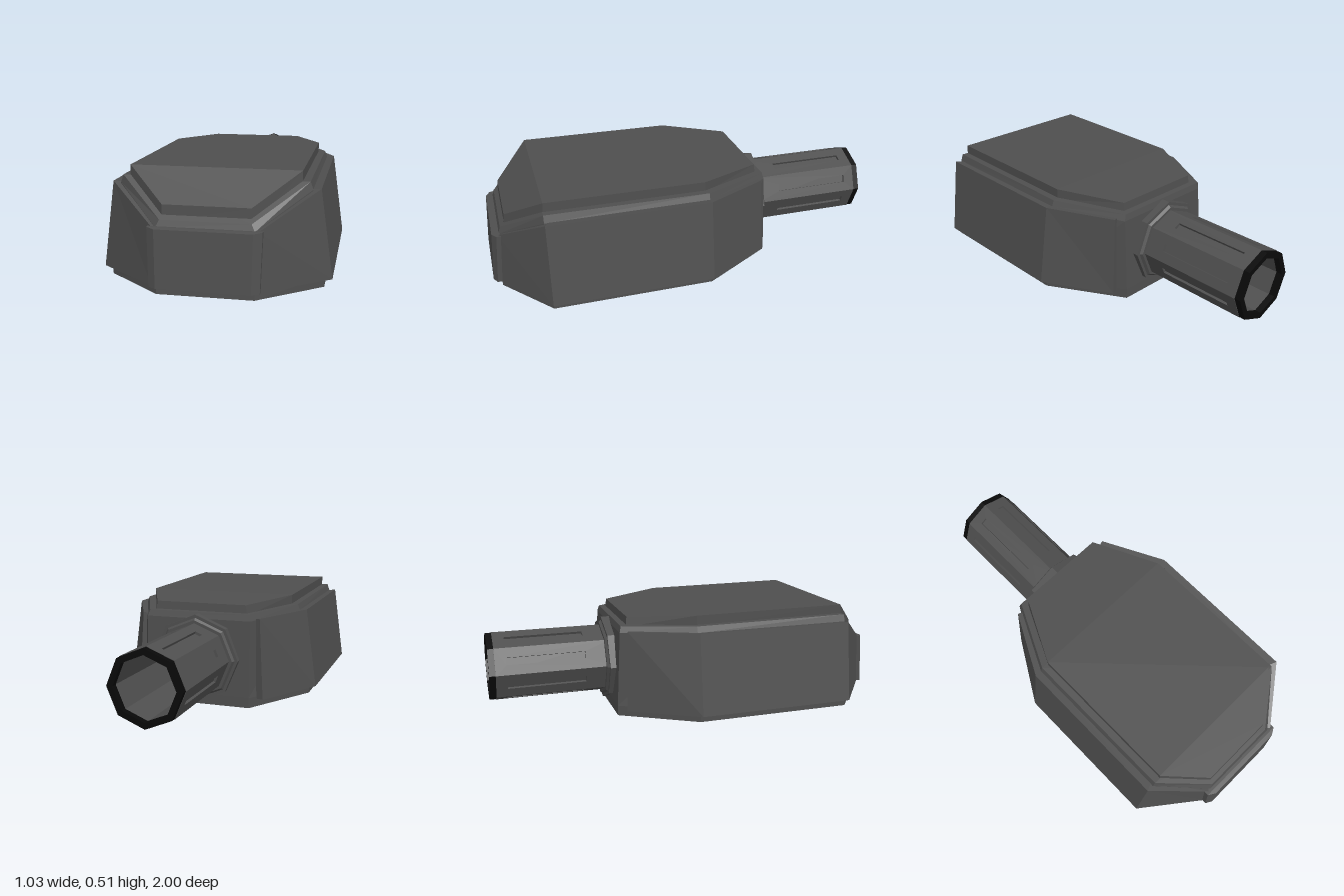
import * as THREE from 'three';

const AXIS_Y = 0.23; // height of the socket axis

export function createModel() {
  const model = new THREE.Group();
  const steel = new THREE.MeshStandardMaterial({ color: 0x4f4f4f });
  steel.name = 'dark grey steel';
  const black = new THREE.MeshStandardMaterial({ color: 0x090909 });
  black.name = 'black';

  const add = (name, geometry, material = steel) => {
    const mesh = new THREE.Mesh(geometry, material);
    mesh.name = name;
    model.add(mesh);
    return mesh;
  };

  // Faceted solid through rings of equal length, capped at both ends
  const loft = (rings) => {
    const pos = [];
    const quad = (a, b, c, d) => [a, b, c, a, c, d].forEach((p) => pos.push(...p));
    const n = rings[0].length;
    for (let r = 0; r < rings.length - 1; r++) {
      for (let i = 0; i < n; i++) {
        const j = (i + 1) % n;
        quad(rings[r][i], rings[r][j], rings[r + 1][j], rings[r + 1][i]);
      }
    }
    const first = rings[0], last = rings[rings.length - 1];
    for (let i = 0; i < n / 2 - 1; i++) {
      quad(last[i], last[i + 1], last[n - 2 - i], last[n - 1 - i]);
      quad(first[n - 1 - i], first[n - 2 - i], first[i + 1], first[i]);
    }
    const g = new THREE.BufferGeometry();
    g.setAttribute('position', new THREE.Float32BufferAttribute(pos, 3));
    g.computeVertexNormals();
    return g;
  };

  // Completes a half ring by mirroring it across x = 0
  const flip = ([x, y, z]) => [-x, y, z];
  const both = (half) => [...half, ...half.map(flip).reverse()];

  // Core hull: half rings run front, front shoulder, rear shoulder, back
  add('hull', loft([
    both([[0.21, 0, 0.96], [0.48, 0, 0.745], [0.48, 0, -0.04], [0.265, 0, -0.4]]),
    both([[0.21, 0.05, 0.957], [0.48, 0.05, 0.745], [0.48, 0.05, -0.04], [0.265, 0.05, -0.4]]),
    both([[0.21, 0.29, 0.95], [0.425, 0.43, 0.75], [0.425, 0.43, -0.04], [0.265, 0.42, -0.383]]),
    both([[0.195, 0.32, 0.94], [0.413, 0.465, 0.75], [0.413, 0.46, -0.04], [0.255, 0.45, -0.375]]),
  ]));

  // Raised top plate with its sloping nose
  add('topPlate', loft([
    both([[0.19, 0.31, 0.92], [0.38, 0.45, 0.75], [0.38, 0.45, -0.03], [0.235, 0.44, -0.345]]),
    both([[0.19, 0.38, 0.915], [0.38, 0.51, 0.745], [0.38, 0.505, -0.03], [0.23, 0.49, -0.34]]),
  ]));

  // Side armour: sections of outer bottom, inner bottom, inner top, outer top
  const armour = [
    [[0.23, 0.038, 0.965], [0.18, 0.038, 0.93], [0.18, 0.285, 0.93], [0.225, 0.292, 0.955]],
    [[0.515, 0.038, 0.75], [0.46, 0.038, 0.73], [0.415, 0.43, 0.73], [0.46, 0.435, 0.75]],
    [[0.515, 0.038, -0.04], [0.46, 0.038, -0.03], [0.415, 0.43, -0.03], [0.46, 0.435, -0.04]],
    [[0.325, 0.038, -0.367], [0.26, 0.038, -0.345], [0.25, 0.425, -0.335], [0.302, 0.43, -0.352]],
  ];
  add('leftArmour', loft(armour));
  add('rightArmour', loft(armour.map((s) => s.map(flip).reverse())));

  // Front plate with bevelled side edges
  add('frontPlate', loft([
    both([[0.203, 0.038, 1.0], [0.236, 0.038, 0.982], [0.236, 0.038, 0.93]]),
    both([[0.208, 0.29, 0.983], [0.244, 0.294, 0.962], [0.244, 0.294, 0.92]]),
  ]));

  // Octagonal collar, stepped towards the socket
  const collarPart = (rBack, rFront, zBack, zFront) => {
    let g = new THREE.CylinderGeometry(rFront, rBack, zFront - zBack, 8);
    g.rotateX(Math.PI / 2);
    g.translate(0, AXIS_Y, (zFront + zBack) / 2);
    g = g.toNonIndexed();
    g.computeVertexNormals();
    return g;
  };
  add('collar', collarPart(0.215, 0.215, -0.42, -0.36));
  add('collarLip', collarPart(0.19, 0.2, -0.432, -0.42));

  // Hollow octagonal sleeve along z
  const sleeve = (outer, inner, zBack, zFront) => {
    const ring = (r) => Array.from({ length: 8 }, (_, i) =>
      new THREE.Vector2(r * Math.cos(i * Math.PI / 4), r * Math.sin(i * Math.PI / 4)));
    const shape = new THREE.Shape(ring(outer));
    shape.holes.push(new THREE.Path(ring(inner).reverse()));
    const g = new THREE.ExtrudeGeometry(shape, { depth: zFront - zBack, bevelEnabled: false });
    return g.translate(0, AXIS_Y, zBack);
  };
  add('socketLiner', sleeve(0.162, 0.146, -0.975, -0.41));
  add('socketRim', sleeve(0.173, 0.144, -1.0, -0.97), black);

  // Eight socket wall panels, each with a long recessed slot
  const R = 0.175, w = R * Math.sin(Math.PI / 8), depth = 0.012;
  const rect = (hw, y0, y1) => [[-hw, y0], [hw, y0], [hw, y1], [-hw, y1]]
    .map(([x, y]) => new THREE.Vector2(x, y));
  const panel = new THREE.Shape(rect(w, 0.4, 0.97));
  panel.holes.push(new THREE.Path(rect(0.018, 0.53, 0.915).reverse()));
  const panelGeometry = new THREE.ExtrudeGeometry(panel, { depth, bevelEnabled: false });
  panelGeometry.translate(0, 0, R * Math.cos(Math.PI / 8) - depth);
  panelGeometry.rotateX(-Math.PI / 2);
  for (let i = 0; i < 8; i++) {
    const mesh = add('socketPanel' + (i + 1), panelGeometry);
    mesh.rotation.z = (i + 0.5) * Math.PI / 4;
    mesh.position.y = AXIS_Y;
  }

  return model;
}
